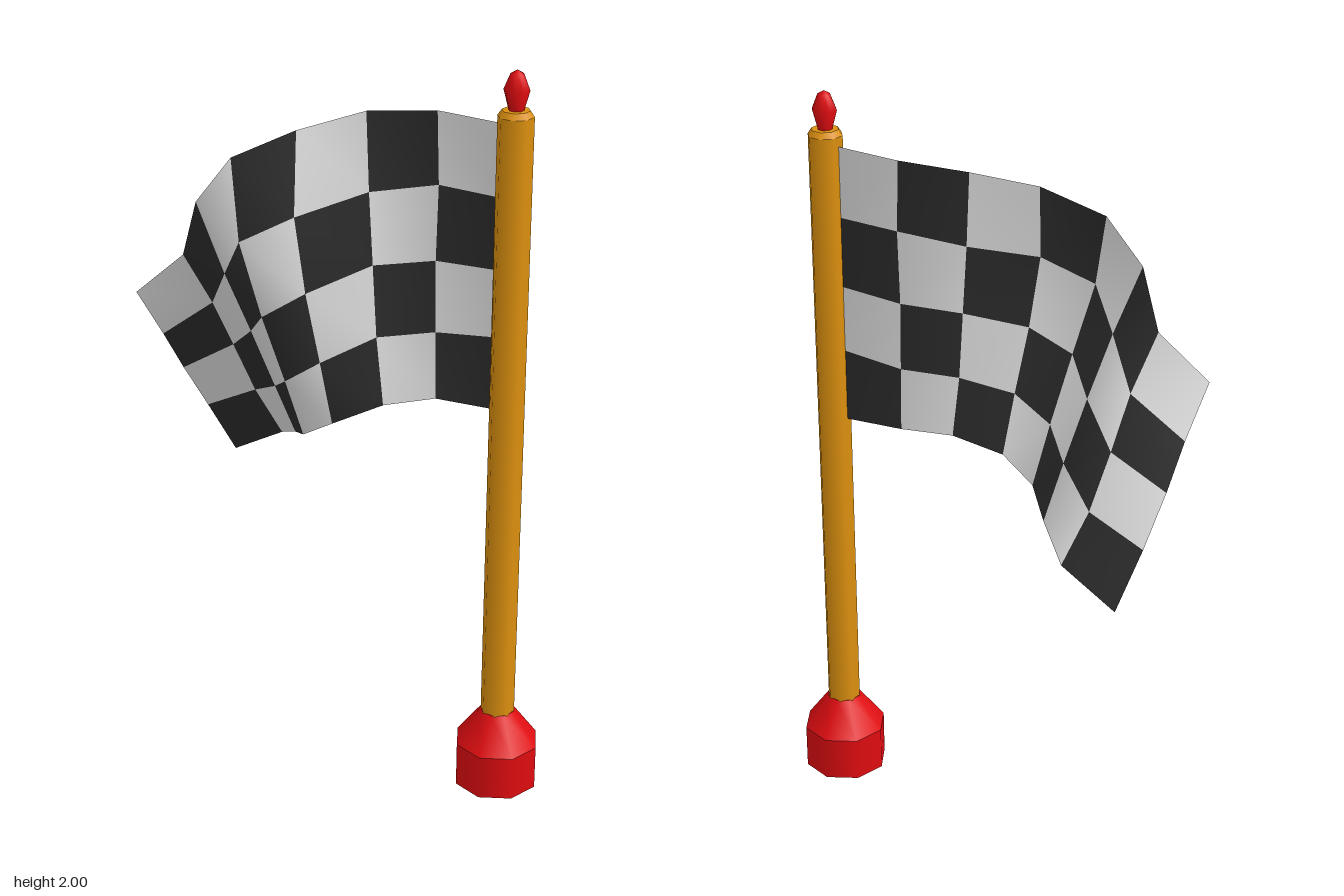
import * as THREE from 'three';

const red = new THREE.MeshStandardMaterial({ color: 0xe00c10 });
red.name = 'red';
const gold = new THREE.MeshStandardMaterial({ color: 0xdc900f });
gold.name = 'gold';
const white = new THREE.MeshStandardMaterial({ color: 0xe4e4e4, side: THREE.DoubleSide });
white.name = 'white cloth';
const black = new THREE.MeshStandardMaterial({ color: 0x2c2c2c, side: THREE.DoubleSide });
black.name = 'black cloth';

const POLE_X = 0.115, POLE_Z = 0.418;

// Turned part on the pole axis; repeated profile points keep hard rims
function turned(name, profile, sides, turn, material) {
  const points = profile.map(([r, y]) => new THREE.Vector2(r, y));
  const mesh = new THREE.Mesh(new THREE.LatheGeometry(points, sides, turn), material);
  mesh.name = name;
  mesh.position.set(POLE_X, 0, POLE_Z);
  return mesh;
}

// Cloth rows from top to bottom, each with points from the pole to the free edge
const clothRows = [
  [[0.115, 1.86, 0.39], [0.112, 1.86, 0.19], [0.045, 1.845, 0.02], [-0.075, 1.8, -0.11],
    [-0.165, 1.725, -0.25], [-0.2, 1.6, -0.34], [-0.187, 1.44, -0.4], [-0.23, 1.32, -0.53]],
  [[0.115, 1.67, 0.39], [0.108, 1.67, 0.2], [0.03, 1.64, 0.04], [-0.125, 1.59, -0.08],
    [-0.2, 1.52, -0.2], [-0.17, 1.41, -0.275], [-0.11, 1.29, -0.37], [-0.15, 1.18, -0.512]],
  [[0.115, 1.48, 0.39], [0.1, 1.47, 0.2], [0.02, 1.45, 0.06], [-0.12, 1.39, -0.05],
    [-0.175, 1.32, -0.15], [-0.11, 1.24, -0.24], [-0.04, 1.15, -0.36], [-0.08, 1.06, -0.505]],
  [[0.115, 1.3, 0.39], [0.09, 1.28, 0.21], [0.01, 1.26, 0.08], [-0.1, 1.2, -0.02],
    [-0.12, 1.13, -0.12], [-0.05, 1.07, -0.21], [0.025, 1.0, -0.34], [0, 0.925, -0.49]],
  [[0.115, 1.1, 0.39], [0.08, 1.1, 0.22], [0, 1.08, 0.11], [-0.075, 1.025, 0],
    [-0.07, 0.965, -0.1], [0.01, 0.92, -0.19], [0.09, 0.86, -0.3], [0.08, 0.77, -0.46]],
];

// One smooth sheet; every grid cell takes the next checker colour
function makeCloth() {
  const geometry = new THREE.BufferGeometry();
  geometry.setAttribute('position', new THREE.Float32BufferAttribute(clothRows.flat(2), 3));
  const columns = clothRows[0].length;
  const index = [];
  for (let r = 0; r < clothRows.length - 1; r++) {
    for (let c = 0; c < columns - 1; c++) {
      const a = r * columns + c, b = a + columns;
      geometry.addGroup(index.length, 6, (r + c) % 2);
      index.push(a, b, a + 1, b, b + 1, a + 1);
    }
  }
  geometry.setIndex(index);
  geometry.computeVertexNormals();
  const mesh = new THREE.Mesh(geometry, [white, black]);
  mesh.name = 'checkeredCloth';
  return mesh;
}

export function createModel() {
  const model = new THREE.Group();
  model.name = 'flagOnPole';

  // Weighted foot with a sloping shoulder
  model.add(turned('base',
    [[0, 0], [0.116, 0], [0.116, 0], [0.116, 0.125], [0.116, 0.125], [0.046, 0.22], [0.046, 0.22], [0, 0.22]],
    8, 0.175, red));

  // Pole with a small bevel at the top
  model.add(turned('pole',
    [[0.046, 0.2], [0.046, 1.885], [0.046, 1.885], [0.036, 1.9], [0.036, 1.9], [0, 1.9]],
    8, Math.PI / 8, gold));

  // Pointed knob
  model.add(turned('finial',
    [[0.018, 1.895], [0.033, 1.95], [0.017, 1.99], [0, 2]],
    8, Math.PI / 8, red));

  model.add(makeCloth());
  return model;
}
